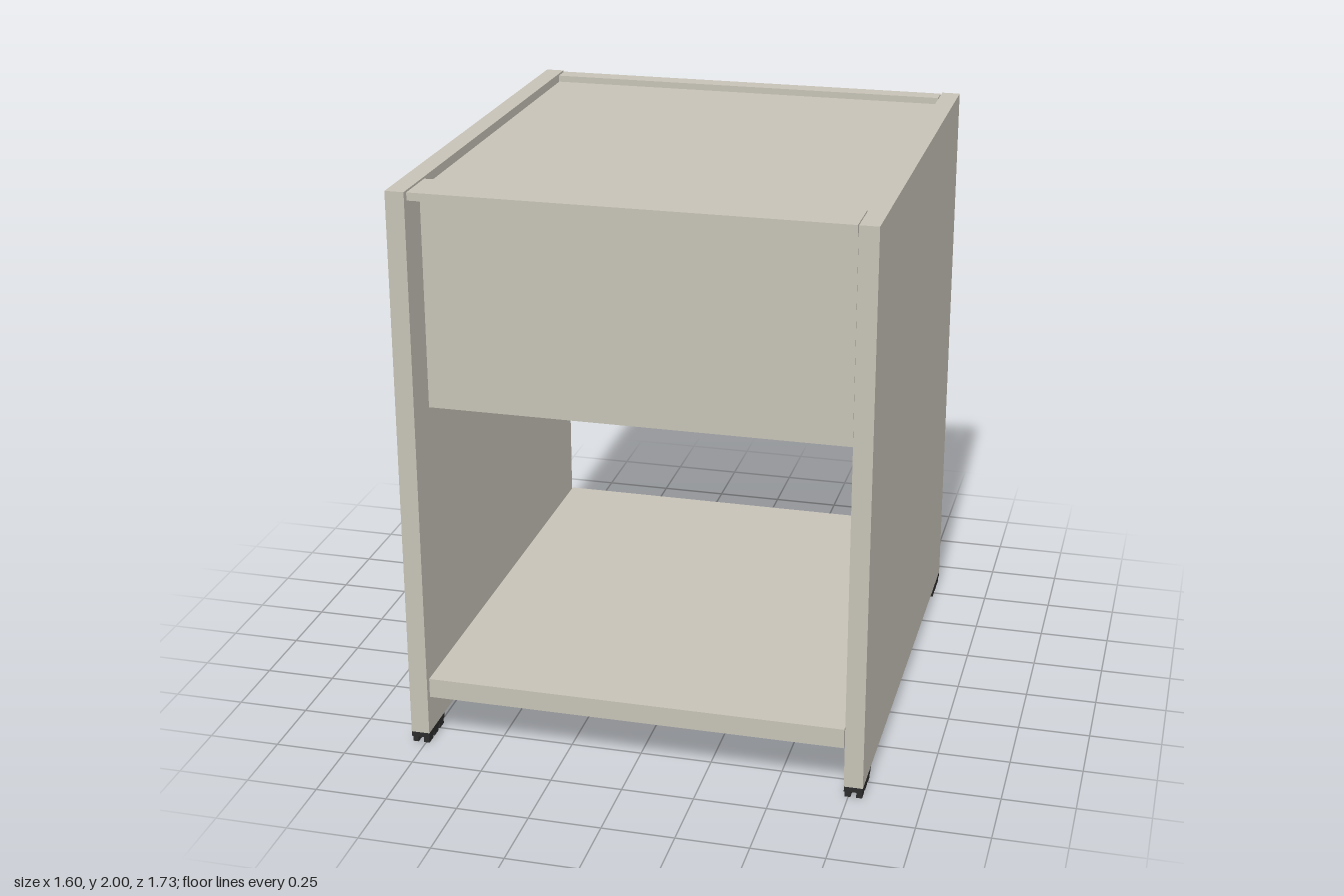
import * as THREE from 'three';

export function createModel() {
  const model = new THREE.Group();
  model.name = 'bedsideCabinet';
  const board = new THREE.MeshStandardMaterial({ color: 0xc6c2b6 });
  board.name = 'warmGreyBoard';
  const rubber = new THREE.MeshStandardMaterial({ color: 0x2b2b2b });
  rubber.name = 'blackFoot';

  // Box given by its lower and upper limits on each axis
  function box(name, [x0, x1], [y0, y1], [z0, z1], material = board, parent = model) {
    const mesh = new THREE.Mesh(new THREE.BoxGeometry(x1 - x0, y1 - y0, z1 - z0), material);
    mesh.position.set((x0 + x1) / 2, (y0 + y1) / 2, (z0 + z1) / 2);
    mesh.name = name;
    parent.add(mesh);
  }

  // Side panels
  box('leftPanel', [0.735, 0.8], [0.04, 2], [-0.865, 0.865]);
  box('rightPanel', [-0.8, -0.735], [0.04, 2], [-0.865, 0.865]);

  // Shelves between the sides
  const inner = [-0.73, 0.73];
  box('lowerShelf', inner, [0.18, 0.25], [-0.86, 0.855]);
  box('drawerShelf', inner, [1.235, 1.3], [-0.86, 0.69]);

  // Recessed top with thin raised rails at front and back
  box('topPanel', [-0.727, 0.727], [1.91, 1.975], [-0.785, 0.688]);
  box('frontRail', inner, [1.97, 1.997], [0.69, 0.855]);
  box('backRail', inner, [1.97, 1.997], [-0.86, -0.79]);

  // Inset drawer front and back panel
  box('drawerFront', [-0.718, 0.718], [1.23, 1.968], [0.7, 0.77]);
  box('backPanel', inner, [1.3, 1.91], [-0.785, -0.72]);

  // Feet: a plate with two rows of three pads
  for (const sx of [-1, 1]) for (const sz of [-1, 1]) {
    const foot = new THREE.Group();
    foot.name = 'foot';
    foot.position.set(sx * 0.7675, 0, sz * 0.787);
    model.add(foot);
    box('footPlate', [-0.032, 0.032], [0.022, 0.04], [-0.078, 0.078], rubber, foot);
    for (const x of [-0.02, 0.02]) for (const z of [-0.053, 0, 0.053]) {
      box('footPad', [x - 0.01, x + 0.01], [0, 0.022], [z - 0.02, z + 0.02], rubber, foot);
    }
  }
  return model;
}
